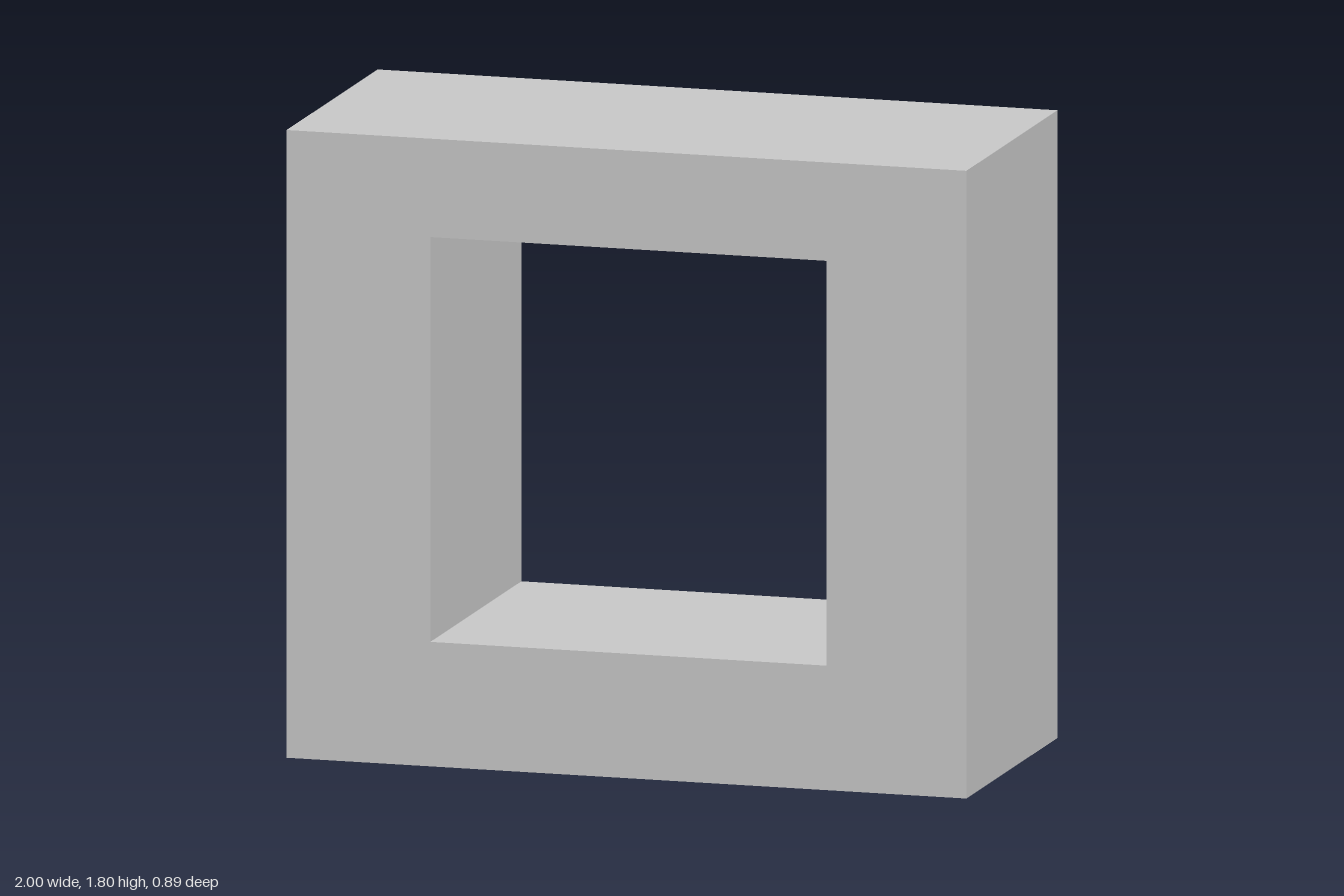
import * as THREE from 'three';

const WIDTH = 2, HEIGHT = 1.805, DEPTH = 0.892;
const HOLE = { left: -0.577, right: 0.588, bottom: 0.358, top: 1.522 };

// Adds a rectangular outline to a shape or path
function rectangle(path, x0, y0, x1, y1) {
  path.moveTo(x0, y0);
  path.lineTo(x1, y0);
  path.lineTo(x1, y1);
  path.lineTo(x0, y1);
  path.closePath();
  return path;
}

export function createModel() {
  const group = new THREE.Group();
  group.name = 'frameBlock';

  // Thick block with a slightly off-centre opening running front to back
  const outline = rectangle(new THREE.Shape(), -WIDTH / 2, 0, WIDTH / 2, HEIGHT);
  outline.holes.push(rectangle(new THREE.Path(), HOLE.left, HOLE.bottom, HOLE.right, HOLE.top));

  const geometry = new THREE.ExtrudeGeometry(outline, { depth: DEPTH, bevelEnabled: false });
  geometry.translate(0, 0, -DEPTH / 2);

  const frame = new THREE.Mesh(
    geometry,
    new THREE.MeshStandardMaterial({ color: 0xcccccc, flatShading: true })
  );
  frame.name = 'frame';
  group.add(frame);
  return group;
}
